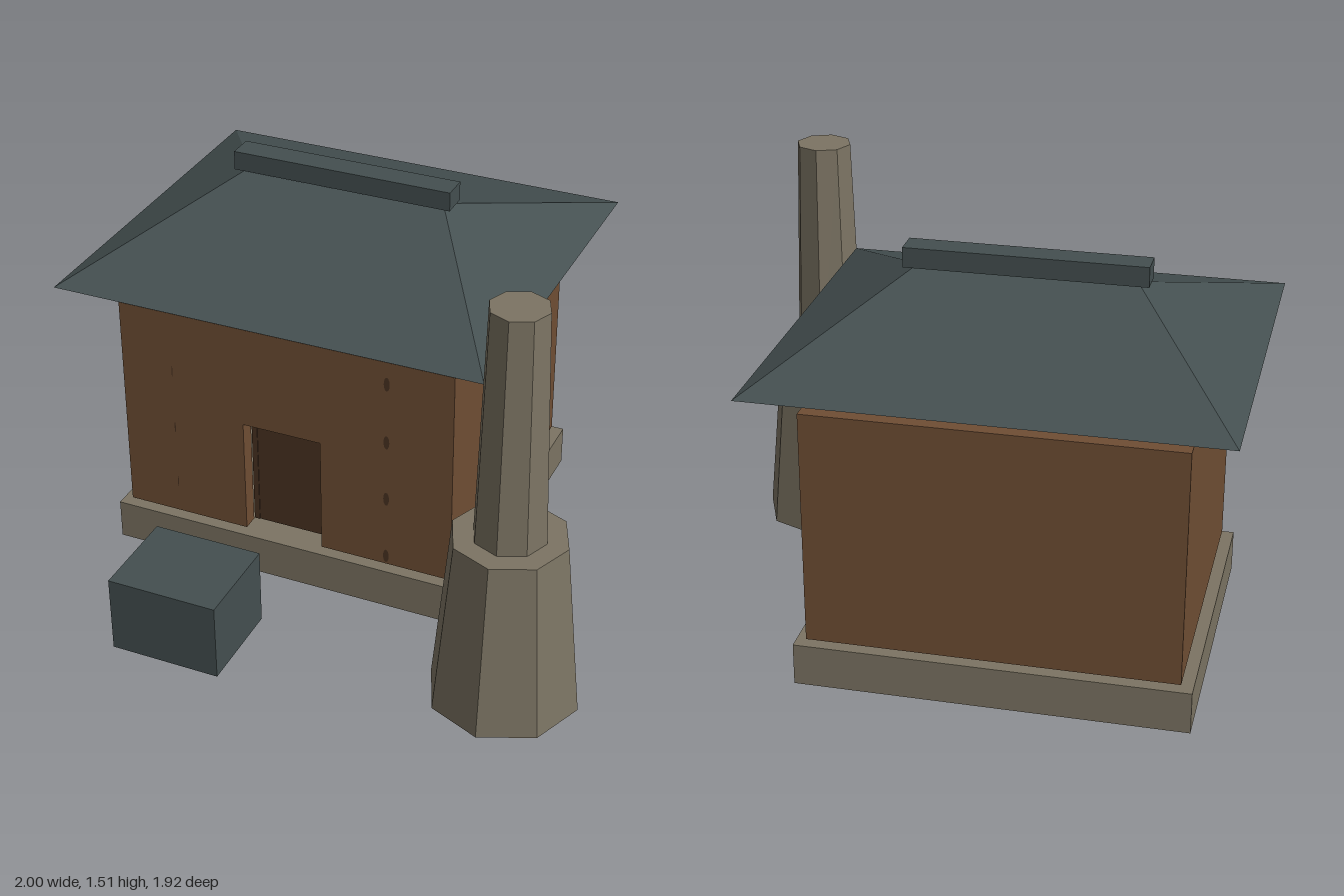
import * as THREE from 'three';

const mat = (name, color) => {
  const m = new THREE.MeshStandardMaterial({ color, side: THREE.DoubleSide, flatShading: true });
  m.name = name;
  return m;
};

export function createModel() {
  const root = new THREE.Group();
  root.name = 'forgeHouse';
  const stone = mat('stone', 0x7c7463);
  const timber = mat('timber', 0x6f4e34);
  const darkTimber = mat('darkTimber', 0x4a3322);
  const slate = mat('slate', 0x444f50);

  const add = (name, geometry, material, x = 0, y = 0, z = 0) => {
    const mesh = new THREE.Mesh(geometry, material);
    mesh.name = name;
    mesh.position.set(x, y, z);
    root.add(mesh);
    return mesh;
  };

  // Box from its limits; "open" lists sides left out (2 top, 3 bottom, 4 front)
  const box = (name, material, [x0, x1], [y0, y1], [z0, z1], open = []) => {
    const g = new THREE.BoxGeometry(x1 - x0, y1 - y0, z1 - z0);
    g.setIndex(Array.from(g.index.array).filter((_, i) => !open.includes(Math.floor(i / 6))));
    g.clearGroups();
    return add(name, g, material, (x0 + x1) / 2, (y0 + y1) / 2, (z0 + z1) / 2);
  };

  // Foundation, hollow underneath
  box('foundation', stone, [-0.88, 0.47], [0.035, 0.185], [-0.82, 0.31], [3]);

  // Walls: three plain sides and a front panel with a doorway
  const wx = [-0.84, 0.43], wy = [0.2, 1.035], wallFront = 0.283;
  box('walls', timber, wx, wy, [-0.797, wallFront], [3, 4]);
  const doorX = [-0.366, -0.067], doorTop = 0.645;
  const panel = new THREE.Shape([
    [wx[0], wy[0]], [doorX[0], wy[0]], [doorX[0], doorTop], [doorX[1], doorTop],
    [doorX[1], wy[0]], [wx[1], wy[0]], [wx[1], wy[1]], [wx[0], wy[1]],
  ].map(([x, y]) => new THREE.Vector2(x, y)));
  add('frontWall', new THREE.ExtrudeGeometry(panel, { depth: 0.06, bevelEnabled: false }),
    timber, 0, 0, wallFront - 0.06);

  // Recessed door and its jamb
  box('door', darkTimber, [-0.345, doorX[1]], [wy[0], doorTop], [0.2, 0.215]);
  box('doorJamb', darkTimber, [doorX[0], -0.345], [wy[0], doorTop], [0.2, 0.218]);

  // Peg ends showing on the front wall
  const pegs = (x, width, height, ys) => ys.forEach((y) => {
    const peg = add('wallPeg', new THREE.CircleGeometry(0.5, 12), darkTimber, x, y, wallFront + 0.002);
    peg.scale.set(width, height, 1);
  });
  pegs(0.185, 0.022, 0.055, [0.235, 0.48, 0.715, 0.95]);
  pegs(-0.64, 0.005, 0.045, [0.33, 0.565, 0.80]);

  // Hipped roof: four slopes, open below
  const A = [-1, 1.138, 0.438], B = [0.588, 1.138, 0.438];
  const C = [0.588, 1.138, -0.96], D = [-1, 1.138, -0.96];
  const L = [-0.575, 1.373, -0.26], R = [0.163, 1.373, -0.26];
  const roof = new THREE.BufferGeometry();
  const corners = [A, B, R, A, R, L, B, C, R, C, D, L, C, L, R, D, A, L];
  roof.setAttribute('position', new THREE.Float32BufferAttribute(corners.flat(), 3));
  roof.computeVertexNormals();
  add('roof', roof, slate);
  box('ridgeCap', slate, [-0.62, 0.206], [1.373, 1.443], [-0.308, -0.212]);

  // Eight-sided tapering chimney in two stages, hollow at the foot
  const stage = (name, rTop, rBottom, y0, y1) => {
    add(name, new THREE.CylinderGeometry(rTop, rBottom, y1 - y0, 8, 1, true), stone, 0.73, (y0 + y1) / 2, 0.533);
    const top = add(name + 'Top', new THREE.CircleGeometry(rTop, 8), stone, 0.73, y1, 0.533);
    top.rotation.x = -Math.PI / 2;
  };
  stage('chimneyBase', 0.203, 0.267, 0, 0.652);
  stage('chimneyStack', 0.101, 0.128, 0.652, 1.507);

  // Block in front of the door, hollow underneath
  box('frontBlock', slate, [-0.547, -0.147], [0.088, 0.372], [0.615, 0.958], [3]);

  return root;
}
